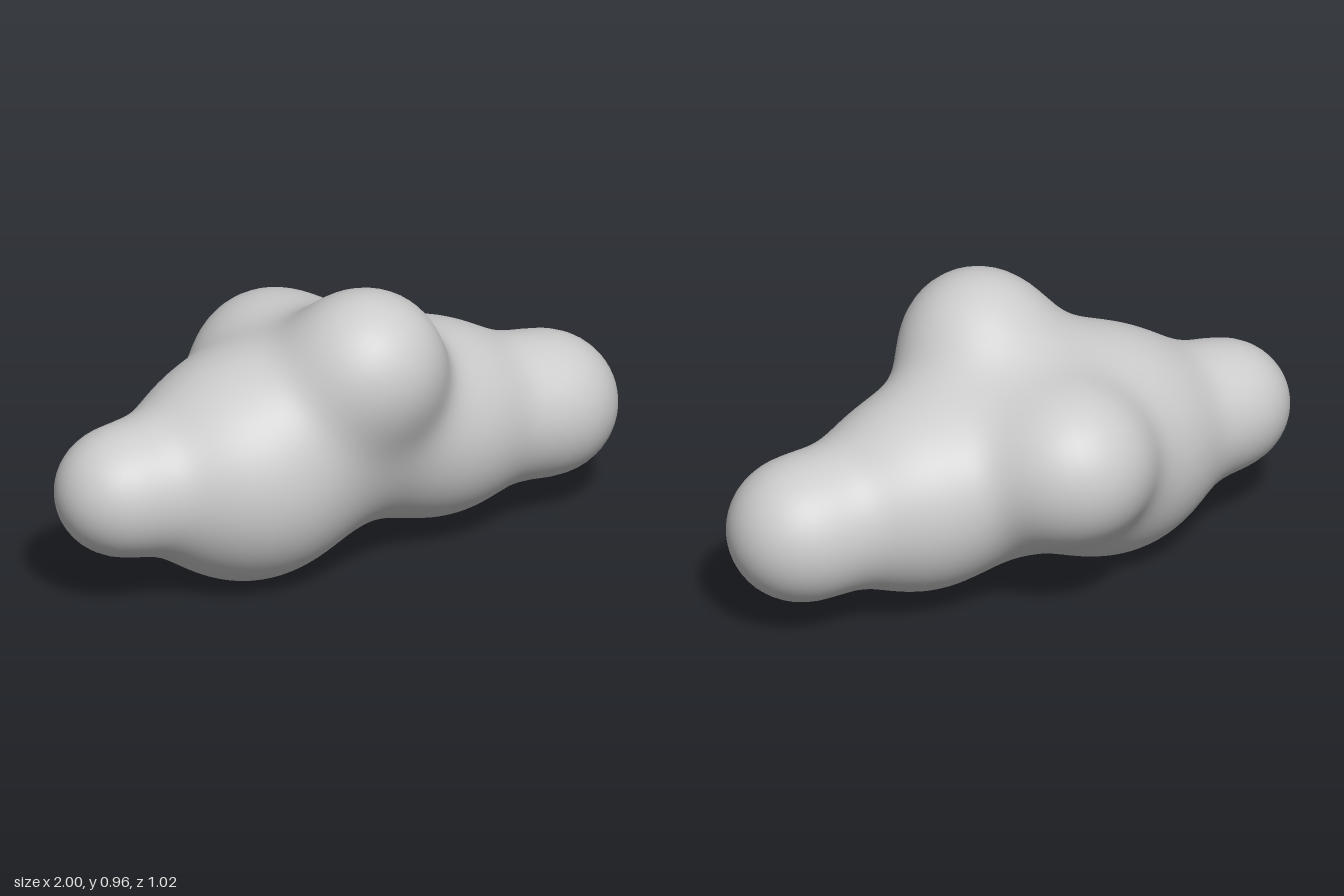
import * as THREE from 'three';
import { mergeVertices } from 'three/addons/utils/BufferGeometryUtils.js';

// Blended lobes: x, y, z, radius
const LOBES = [
  [-0.8, 0.385, 0.055, 0.197],  // right tip
  [-0.34, 0.375, 0.07, 0.365],  // right body
  [0, 0.46, 0.06, 0.28],        // core
  [0.35, 0.38, 0.06, 0.31],     // left body
  [0.77, 0.345, 0.09, 0.226],   // left tip
  [0, 0.73, 0.27, 0.235],       // upper front bump
  [-0.04, 0.52, -0.265, 0.24],  // rear bump
];
const BLEND = 12;

// Smooth union distance of all lobes
function field(p) {
  let sum = 0;
  for (const [x, y, z, r] of LOBES) {
    sum += Math.exp(-BLEND * (Math.hypot(p.x - x, p.y - y, p.z - z) - r));
  }
  return -Math.log(sum) / BLEND;
}

// Push each point of a fine sphere out to the blended surface
function blobGeometry() {
  let geo = new THREE.IcosahedronGeometry(1, 24);
  geo.deleteAttribute('normal');
  geo.deleteAttribute('uv');
  geo = mergeVertices(geo, 1e-4);
  const centre = new THREE.Vector3(0, 0.42, 0.07);
  const pos = geo.attributes.position;
  const dir = new THREE.Vector3();
  const p = new THREE.Vector3();
  for (let i = 0; i < pos.count; i++) {
    dir.fromBufferAttribute(pos, i);
    dir.x *= 1.8; // more points toward the long ends
    dir.normalize();
    let near = 0, far = 1.4;
    for (let k = 0; k < 24; k++) {
      const mid = (near + far) / 2;
      p.copy(centre).addScaledVector(dir, mid);
      if (field(p) < 0) near = mid; else far = mid;
    }
    pos.setXYZ(i, p.x, p.y, p.z);
  }
  geo.computeVertexNormals();
  return geo;
}

export function createModel() {
  const grey = new THREE.MeshStandardMaterial({ color: 0xcccccc });
  grey.name = 'light grey';
  const body = new THREE.Mesh(blobGeometry(), grey);
  body.name = 'lobedBody';
  const model = new THREE.Group();
  model.name = 'blob';
  model.add(body);
  return model;
}
